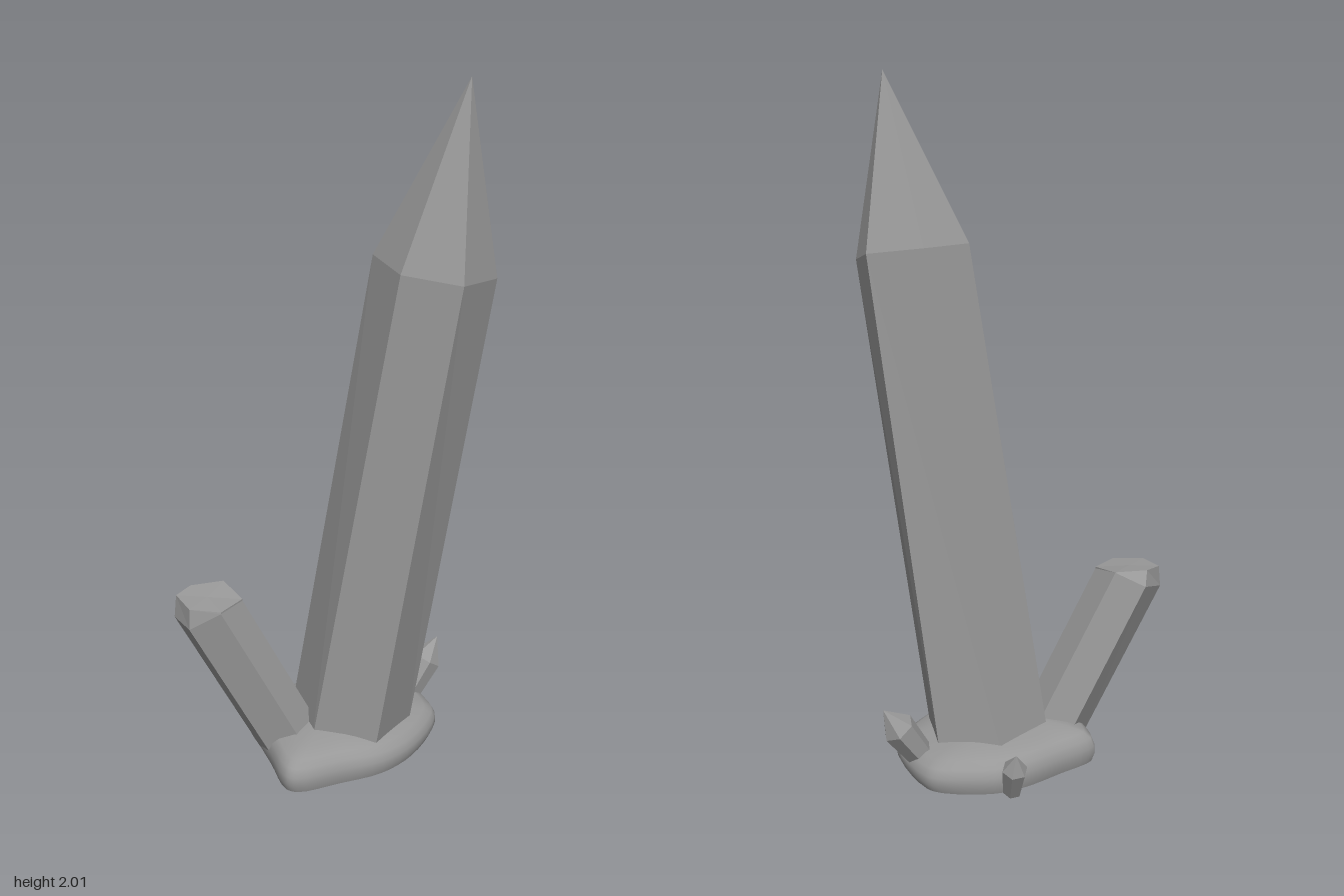
import * as THREE from 'three';

const stone = new THREE.MeshStandardMaterial({ color: 0x999999 });
stone.name = 'grey stone';

// Skin a stack of equal-length rings, listed bottom to top
function loft(rings, smooth) {
  const n = rings[0].length, index = [];
  for (let r = 0; r < rings.length - 1; r++) {
    for (let i = 0; i < n; i++) {
      const a = r * n + i, b = r * n + (i + 1) % n;
      index.push(a, a + n, b + n, a, b + n, b);
    }
  }
  let geo = new THREE.BufferGeometry();
  geo.setAttribute('position', new THREE.Float32BufferAttribute(rings.flat(2), 3));
  geo.setIndex(index);
  if (!smooth) geo = geo.toNonIndexed();
  geo.computeVertexNormals();
  return geo;
}

// Collapse a ring to its centre, to close an end
function centre(ring) {
  const c = [0, 1, 2].map(k => ring.reduce((s, p) => s + p[k], 0) / ring.length);
  return ring.map(() => c);
}

// Small six-sided pointed crystal between two points
function spike(from, to, radius, shoulder, turn) {
  const a = new THREE.Vector3(...from), d = new THREE.Vector3(...to).sub(a);
  const len = d.length();
  const profile = [[0, 0], [radius * 0.75, 0], [radius, len * shoulder], [0, len]]
    .map(p => new THREE.Vector2(...p));
  const geo = new THREE.LatheGeometry(profile, 6, turn).toNonIndexed();
  geo.computeVertexNormals();
  geo.applyQuaternion(new THREE.Quaternion().setFromUnitVectors(new THREE.Vector3(0, 1, 0), d.normalize()));
  return geo.translate(...from);
}

export function createModel() {
  const group = new THREE.Group();
  const add = (name, geo) => {
    const mesh = new THREE.Mesh(geo, stone);
    mesh.name = name;
    group.add(mesh);
  };

  // Tall leaning crystal with an off-centre point
  const foot = [[0.225, 0.05, -0.015], [0.135, 0.05, 0.155], [-0.055, 0.06, 0.145],
    [-0.14, 0.07, -0.025], [-0.035, 0.07, -0.187], [0.155, 0.06, -0.182]];
  const shoulder = [[0.44, 1.475, 0.04], [0.355, 1.485, 0.185], [0.19, 1.51, 0.18],
    [0.105, 1.53, 0.03], [0.2, 1.53, -0.112], [0.365, 1.51, -0.105]];
  add('mainCrystal', loft([centre(foot), foot, shoulder, shoulder.map(() => [0.355, 2, 0.06])]));

  // Short crystal with a blunt, nearly level top
  const rim = [[-0.445, 0.49, 0.19], [-0.41, 0.52, 0.09], [-0.32, 0.56, 0.085],
    [-0.25, 0.54, 0.165], [-0.295, 0.54, 0.255], [-0.385, 0.49, 0.265]];
  const top = [[-0.44, 0.555, 0.182], [-0.41, 0.56, 0.125], [-0.32, 0.561, 0.086],
    [-0.25, 0.545, 0.165], [-0.295, 0.545, 0.254], [-0.385, 0.55, 0.257]];
  const root = rim.map(([x, y, z]) => [x + 0.225, Math.max(0.005, y - 0.49), z - 0.1]);
  add('bluntCrystal', loft([centre(root), root, rim, top, centre(top)]));

  // Two sprouts at the back
  add('sideSprout', spike([0.195, 0.03, -0.18], [0.3, 0.225, -0.265], 0.05, 0.66, 0.3));
  add('backSprout', spike([-0.075, 0.005, -0.255], [-0.098, 0.147, -0.312], 0.037, 0.62, 0));

  // Smooth rounded rock underneath
  const outline = new THREE.CatmullRomCurve3([
    [-0.28, -0.03], [-0.2, -0.125], [-0.11, -0.225], [-0.03, -0.28], [0.12, -0.307], [0.175, -0.29],
    [0.295, -0.14], [0.305, -0.08], [0.25, 0.08], [0.165, 0.185], [0.04, 0.255], [-0.075, 0.312],
    [-0.115, 0.3], [-0.175, 0.185], [-0.22, 0.1], [-0.275, 0],
  ].map(([x, z]) => new THREE.Vector3(x, 0, z)), true, 'centripetal').getPoints(64).slice(0, 64);
  const layers = [[0.97, 0], [1, 0.025], [0.995, 0.05], [0.96, 0.075], [0.88, 0.092],
    [0.7, 0.105], [0.4, 0.115], [0, 0.118]];
  const rings = layers.map(([s, y]) => outline.map(p => [p.x * s, y * (1 - 0.9 * Math.max(0, p.x * s - 0.05)), p.z * s]));
  add('baseRock', loft(rings, true));
  add('baseUnderside', loft([centre(rings[0]), rings[0]]));

  return group;
}
